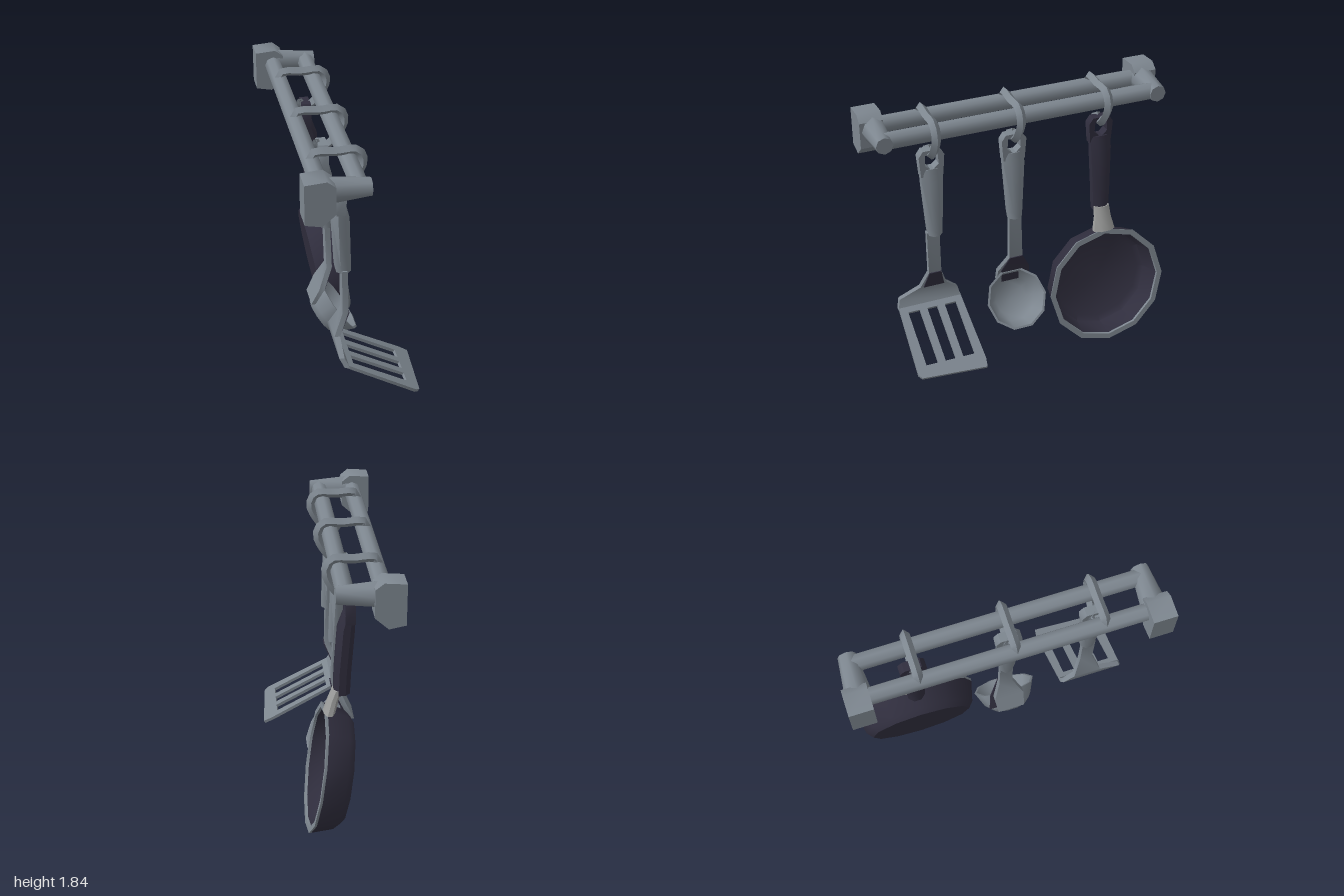
import * as THREE from 'three';
import { toCreasedNormals } from 'three/addons/utils/BufferGeometryUtils.js';

const material = (name, color) => {
  const m = new THREE.MeshStandardMaterial({ color, side: THREE.DoubleSide });
  m.name = name;
  return m;
};

// Closed solid through horizontal sections [x, y, z, halfX, halfZ], listed from top to bottom
function loft(sections, n = 8) {
  const pos = [], index = [], k = 1 / Math.cos(Math.PI / n);
  for (const [x, y, z, hx, hz] of sections) {
    for (let i = 0; i < n; i++) {
      const a = ((i + 0.5) / n) * Math.PI * 2;
      pos.push(x + hx * k * Math.cos(a), y, z + hz * k * Math.sin(a));
    }
  }
  const last = (sections.length - 1) * n;
  for (let r = 0; r < last; r += n) {
    for (let i = 0; i < n; i++) {
      const j = (i + 1) % n;
      index.push(r + i, r + j, r + n + i, r + j, r + n + j, r + n + i);
    }
  }
  for (let i = 1; i < n - 1; i++) index.push(0, i + 1, i, last, last + i, last + i + 1);
  const g = new THREE.BufferGeometry();
  g.setAttribute('position', new THREE.Float32BufferAttribute(pos, 3));
  g.setIndex(index);
  return g;
}

const polygon = (pts) => pts.map(([x, y]) => new THREE.Vector2(x, y));

function plate(outline, holes, depth) {
  const shape = new THREE.Shape(polygon(outline));
  for (const h of holes) shape.holes.push(new THREE.Path(polygon(h)));
  return new THREE.ExtrudeGeometry(shape, { depth, bevelEnabled: false }).translate(0, 0, -depth / 2);
}

export function createModel() {
  const steel = material('steel', 0x7d868f);
  const dark = material('dark coating', 0x302e3e);
  const bright = material('bright steel', 0x9c9d9c);
  const model = new THREE.Group();

  function add(parent, name, geometry, mat, crease = 0.8) {
    const mesh = new THREE.Mesh(toCreasedNormals(geometry, crease), mat);
    mesh.name = name;
    parent.add(mesh);
    return mesh;
  }
  function group(name) {
    const g = new THREE.Group();
    g.name = name;
    model.add(g);
    return g;
  }

  // Rack: two rails between two wall brackets
  const rack = group('rack');
  for (const [name, x] of [['backRail', -0.265], ['frontRail', -0.045]]) {
    add(rack, name, new THREE.CylinderGeometry(0.055, 0.055, 1.8, 8).rotateX(Math.PI / 2).translate(x, 1.74, 0), steel);
  }
  const bracketSide = [[-0.38, 1.58], [-0.28, 1.56], [-0.2, 1.63], [-0.2, 1.8], [-0.25, 1.84], [-0.38, 1.83]];
  for (const s of [1, -1]) {
    add(rack, 'wallBracket', plate(bracketSide, [], 0.15).translate(0, 0, s * 0.92), steel);
    add(rack, 'bracketArm', new THREE.CylinderGeometry(0.055, 0.08, 0.25, 8)
      .rotateZ(-Math.PI / 2).translate(-0.11, 1.74, s * 0.905), steel);
  }

  // Hooks over both rails, curling down through the handle eyes
  const hookPath = [[-0.27, 1.74], [-0.26, 1.81], [-0.12, 1.81], [0, 1.81], [0.035, 1.74], [0, 1.65],
    [-0.06, 1.58], [-0.12, 1.56], [-0.15, 1.6]];
  for (const z of [0.59, 0.04, -0.55]) {
    const curve = new THREE.CatmullRomCurve3(hookPath.map(([x, y]) => new THREE.Vector3(x, y, z)));
    add(rack, 'hook', new THREE.TubeGeometry(curve, 18, 0.03, 4), steel);
  }

  // Handle with a pierced eye at the top
  const eyeOutline = [[-0.072, 1.42], [0.072, 1.42], [0.083, 1.56], [0.055, 1.6], [-0.055, 1.6], [-0.083, 1.56]];
  const eyeHole = [[0, 1.46], [0.045, 1.5], [0.04, 1.57], [-0.04, 1.57], [-0.045, 1.5]];
  function handle(parent, z, mat, sections) {
    add(parent, 'handleEye', plate(eyeOutline, [eyeHole], 0.06).rotateY(Math.PI / 2).translate(-0.105, 0, z), mat);
    add(parent, 'handle', loft(sections.map(([x, y, hx, hz]) => [x, y, z, hx, hz])), mat);
  }
  const slimHandle = [[-0.105, 1.47, 0.035, 0.072], [-0.1, 1.38, 0.053, 0.07], [-0.085, 1.05, 0.05, 0.05], [-0.08, 1, 0.045, 0.045]];

  // Slotted turner
  const turner = group('turner');
  handle(turner, 0.59, steel, slimHandle);
  add(turner, 'stem', loft([[-0.08, 1.02, 0.605, 0.018, 0.042], [-0.075, 0.72, 0.605, 0.018, 0.042],
    [-0.135, 0.58, 0.6, 0.018, 0.09], [-0.135, 0.52, 0.635, 0.016, 0.2], [-0.105, 0.46, 0.64, 0.016, 0.215]], 4), steel);
  add(turner, 'neckFace', loft([[-0.053, 0.72, 0.605, 0.004, 0.04], [-0.113, 0.58, 0.6, 0.004, 0.07]], 4), dark);
  const slots = [[0.47, 0.55], [0.6, 0.67], [0.72, 0.8]].map(([a, b]) => [[a, 0.06], [b, 0.06], [b, 0.45], [a, 0.45]]);
  const blade = plate([[0.425, 0], [0.85, 0], [0.87, 0.5], [0.85, 0.53], [0.42, 0.56], [0.41, 0.5]], slots, 0.02);
  const down = new THREE.Vector3(0.879, -0.476, 0).normalize();
  const across = new THREE.Vector3(0, 0, 1);
  blade.applyMatrix4(new THREE.Matrix4()
    .makeBasis(across, down, across.clone().cross(down)).setPosition(-0.115, 0.47, 0));
  add(turner, 'slottedBlade', blade, steel);

  // Lathed vessel whose axis is tipped from vertical towards +x
  const vessel = (profile, sides, tilt, x, y, z) =>
    new THREE.LatheGeometry(polygon(profile), sides).rotateZ(-tilt).translate(x, y, z);

  // Ladle
  const ladle = group('ladle');
  handle(ladle, 0.045, steel, slimHandle);
  add(ladle, 'stem', loft([[-0.08, 1.02, 0.045, 0.018, 0.042], [-0.07, 0.7, 0.045, 0.018, 0.045],
    [-0.13, 0.57, 0.05, 0.018, 0.1], [-0.185, 0.46, 0.05, 0.014, 0.09]], 4), steel);
  add(ladle, 'neckFace', loft([[-0.048, 0.7, 0.045, 0.004, 0.045], [-0.107, 0.57, 0.03, 0.004, 0.1],
    [-0.155, 0.45, 0.01, 0.004, 0.1]], 4), dark);
  add(ladle, 'bowl', vessel([[0, 0], [0.12, 0.005], [0.165, 0.05], [0.21, 0.155], [0.195, 0.155], [0.15, 0.055],
    [0.11, 0.02], [0, 0.015]], 10, 0.975, -0.13, 0.31, 0.06), steel, 1.1);

  // Frying pan
  const pan = group('fryingPan');
  const pz = -0.555;
  handle(pan, pz, dark, [[-0.1, 1.47, 0.035, 0.072], [-0.085, 1.38, 0.052, 0.07], [-0.065, 1.1, 0.052, 0.06], [-0.06, 0.94, 0.05, 0.055]]);
  add(pan, 'handleSocket', loft([[-0.035, 0.97, pz, 0.03, 0.052], [-0.01, 0.9, pz, 0.032, 0.055],
    [0.015, 0.81, pz, 0.035, 0.075]]), bright);
  add(pan, 'panBody', vessel([[0, 0], [0.34, 0], [0.375, 0.04], [0.41, 0.175]], 12, 1.413, -0.085, 0.385, pz), dark);
  add(pan, 'panRim', vessel([[0.41, 0.175], [0.414, 0.19], [0.378, 0.19], [0.375, 0.175]], 12, 1.413, -0.085, 0.385, pz), steel);
  add(pan, 'panInside', vessel([[0.375, 0.175], [0.345, 0.045], [0.31, 0.02], [0, 0.02]], 12, 1.413, -0.085, 0.385, pz), dark);

  return model;
}
